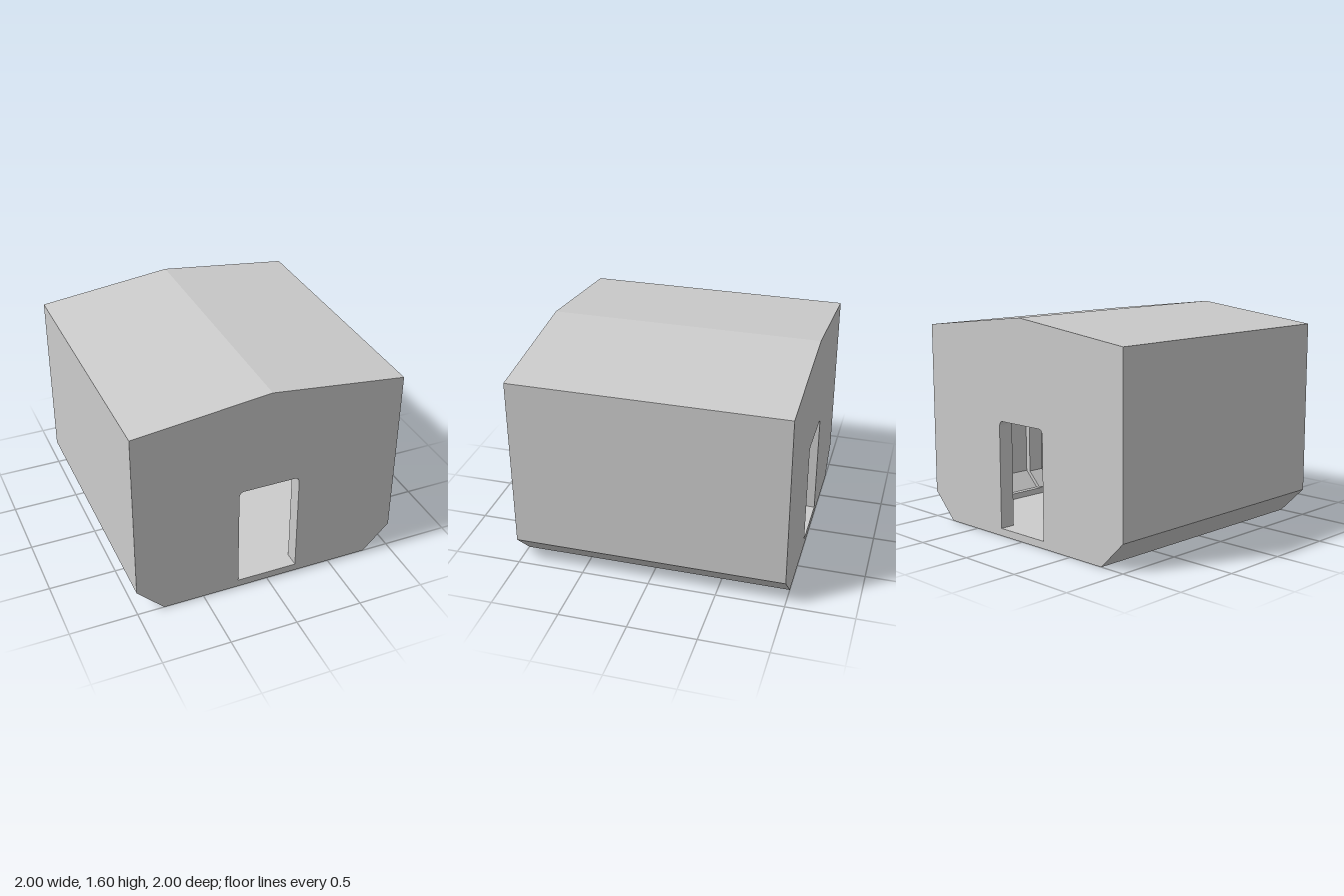
import * as THREE from 'three';

const material = new THREE.MeshStandardMaterial({ color: 0xcccccc, flatShading: true });
const WALL = 0.115; // thickness of the end walls

// Mirrors a half profile (listed from bottom to top on +x) into a closed outline
function mirrored(half, PathType = THREE.Shape) {
  const left = half.filter(([x]) => x > 0).map(([x, y]) => [-x, y]).reverse();
  return new PathType([...half, ...left].map(([x, y]) => new THREE.Vector2(x, y)));
}

function extrude(name, shape, z0, z1) {
  const geometry = new THREE.ExtrudeGeometry(shape, {
    depth: z1 - z0, bevelEnabled: false, curveSegments: 5,
  });
  geometry.translate(0, 0, z0);
  const mesh = new THREE.Mesh(geometry, material);
  mesh.name = name;
  return mesh;
}

const outer = [[0.8, 0], [1, 0.2], [1, 1.485], [0, 1.6]];
// Hollow interior: floor kerb, sloped lower wall, side wall, ceiling ledge, roof
const inner = [[0.79, 0.055], [0.79, 0.1], [0.83, 0.1], [0.95, 0.22],
  [0.95, 1.43], [0.9, 1.43], [0.9, 1.46], [0, 1.565]];
// The rib is embedded in the shell and stands slightly proud of it
const ribOuter = [[0.8, 0.03], [0.975, 0.2], [0.975, 1.46], [0, 1.58]];
const ribInner = [[0.795, 0.05], [0.795, 0.105], [0.91, 0.22], [0.91, 1.43], [0, 1.53]];

// Doorway with small rounded upper corners
function doorway() {
  const p = new THREE.Path();
  p.moveTo(-0.228, 0.055);
  p.lineTo(0.228, 0.055);
  p.lineTo(0.228, 0.8);
  p.quadraticCurveTo(0.228, 0.848, 0.195, 0.848);
  p.lineTo(-0.195, 0.848);
  p.quadraticCurveTo(-0.228, 0.848, -0.228, 0.8);
  p.closePath();
  return p;
}

export function createModel() {
  const group = new THREE.Group();
  group.name = 'corridorModule';

  // Floor, sides and roof as one hollow shell
  const shell = mirrored(outer);
  shell.holes.push(mirrored(inner, THREE.Path));
  group.add(extrude('shell', shell, -1 + WALL, 1 - WALL));

  // End walls with doorways
  const wall = mirrored(outer);
  wall.holes.push(doorway());
  group.add(extrude('frontWall', wall, 1 - WALL, 1));
  group.add(extrude('backWall', wall, -1, -1 + WALL));

  // Interior frame around the walls and ceiling
  const rib = mirrored(ribOuter);
  rib.holes.push(mirrored(ribInner, THREE.Path));
  group.add(extrude('interiorRib', rib, -0.13, 0));

  return group;
}
